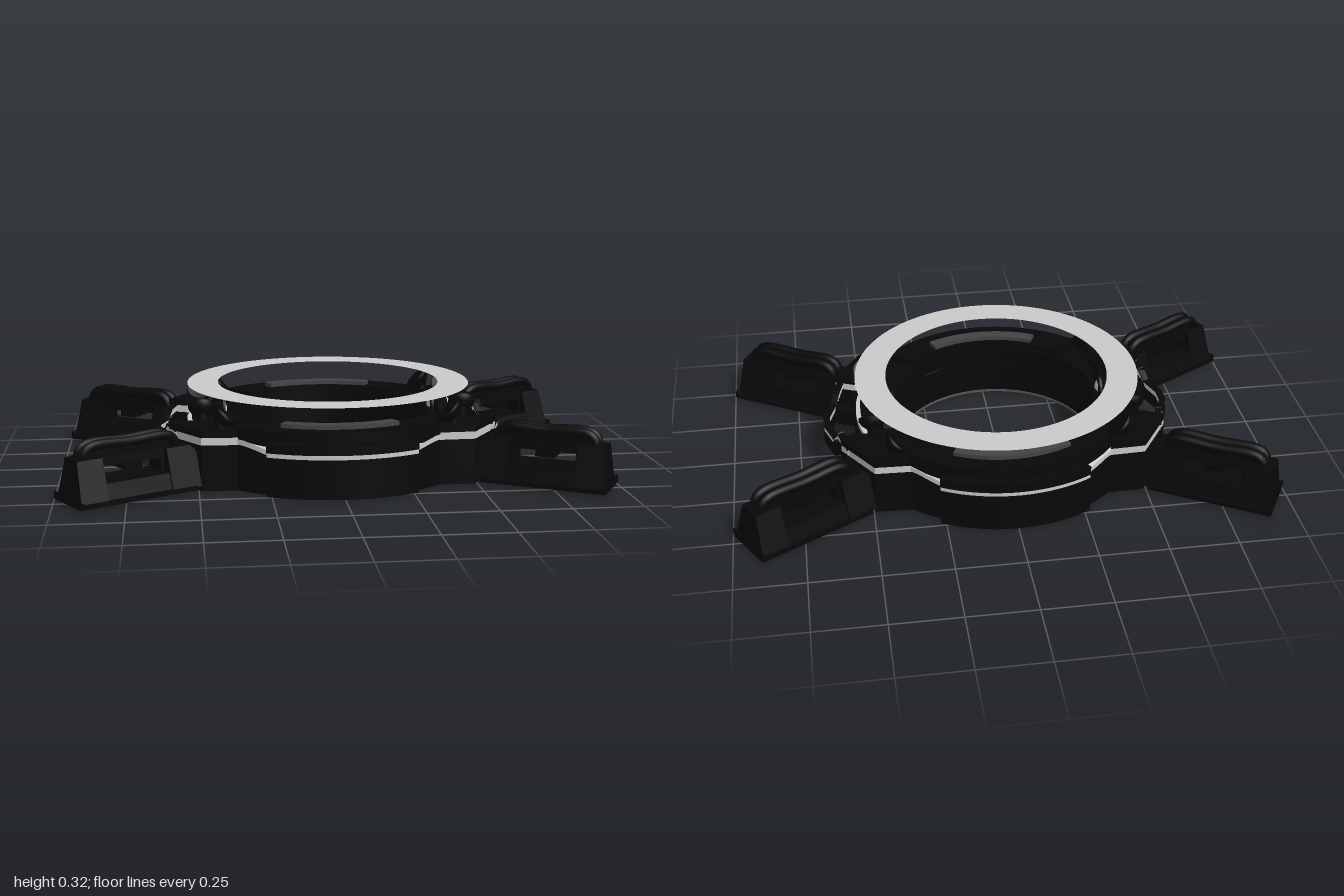
import * as THREE from 'three';

const DARK = 0x080808, GREY = 0xcccccc;
const rad = THREE.MathUtils.degToRad;

function add(parent, name, geometry, color = DARK, pos = [0, 0, 0]) {
  const material = new THREE.MeshStandardMaterial({ color, side: THREE.DoubleSide });
  const mesh = new THREE.Mesh(geometry, material);
  mesh.name = name;
  mesh.position.set(...pos);
  parent.add(mesh);
  return mesh;
}

const points = pts => pts.map(p => new THREE.Vector2(...p));
const shapeOf = pts => new THREE.Shape(points(pts));

// Plan outline raised from y0 to y1
function slab(shape, y0, y1) {
  return new THREE.ExtrudeGeometry(shape, { depth: y1 - y0, bevelEnabled: false, curveSegments: 72 })
    .rotateX(-Math.PI / 2).translate(0, y0, 0);
}

// Curved block between two radii and two angles (degrees, -90 is the front)
function arcBlock(r0, r1, y0, y1, a0, a1) {
  const s = new THREE.Shape();
  s.absarc(0, 0, r1, rad(a0), rad(a1), false);
  s.absarc(0, 0, r0, rad(a1), rad(a0), true);
  return slab(s, y0, y1);
}

function ringBlock(r0, r1, y0, y1) {
  const s = new THREE.Shape().absarc(0, 0, r1, 0, Math.PI * 2, false);
  s.holes.push(new THREE.Path().absarc(0, 0, r0, 0, Math.PI * 2, true));
  return slab(s, y0, y1);
}

// Side profile in (depth z, height y) given thickness along x
function sideSlab(pts, x0, x1) {
  return new THREE.ExtrudeGeometry(shapeOf(pts), { depth: x1 - x0, bevelEnabled: false })
    .rotateY(Math.PI / 2).translate(x0, 0, 0);
}

// Raise the upper vertices beside the low front and back sections
function stepUp(geometry) {
  const p = geometry.attributes.position;
  for (let i = 0; i < p.count; i++) {
    const t = THREE.MathUtils.clamp((Math.abs(p.getX(i)) - 0.26) / 0.08, 0, 1);
    if (p.getY(i) > 0.1) p.setY(i, p.getY(i) + 0.025 * t);
  }
  geometry.computeVertexNormals();
  return geometry;
}

// Side profile of an arm part, narrowed towards its top
function armSlab(shape, width, topRatio) {
  const g = new THREE.ExtrudeGeometry(shape, { depth: width, bevelEnabled: false }).translate(0, 0, -width / 2);
  const p = g.attributes.position;
  for (let i = 0; i < p.count; i++)
    p.setZ(i, p.getZ(i) * THREE.MathUtils.mapLinear(p.getY(i), 0.02, 0.165, 1, topRatio));
  g.computeVertexNormals();
  return g;
}

// Straight bar of rectangular section between two points
function bar(parent, name, a, b, w, h, color = DARK) {
  const from = new THREE.Vector3(...a), to = new THREE.Vector3(...b);
  const mesh = add(parent, name, new THREE.BoxGeometry(w, h, from.distanceTo(to) + w * 0.5), color);
  mesh.position.copy(from).lerp(to, 0.5);
  mesh.lookAt(to);
}

function buildArm() {
  const arm = new THREE.Group();
  arm.name = 'arm';
  // Low body, with a thin slotted wall above it
  add(arm, 'armBody', armSlab(shapeOf([[0.62, 0.02], [1.085, 0.02], [1.08, 0.08], [0.62, 0.08]]), 0.17, 0.55));
  const wall = shapeOf([[0.66, 0.07], [1.06, 0.07], [1.06, 0.165], [0.66, 0.165]]);
  wall.holes.push(new THREE.Path(points([[0.75, 0.082], [0.75, 0.132], [0.97, 0.132], [0.97, 0.082]])));
  add(arm, 'slottedWall', armSlab(wall, 0.08, 0.8));
  add(arm, 'slotLatch', new THREE.BoxGeometry(0.07, 0.025, 0.08), DARK, [0.86, 0.122, 0]);
  // Wide foot plate with an upturned tip
  const foot = shapeOf([[0.64, 0.01], [1.095, 0.01], [1.095, 0.04], [1.07, 0.025], [0.64, 0.025]]);
  add(arm, 'footPlate', armSlab(foot, 0.2, 1));
  // Tapered blocks at both ends
  add(arm, 'tipBlock', armSlab(shapeOf([[0.98, 0.02], [1.085, 0.02], [1.075, 0.165], [0.98, 0.165]]), 0.18, 0.5));
  add(arm, 'rootBlock', armSlab(shapeOf([[0.62, 0.02], [0.735, 0.02], [0.735, 0.165], [0.64, 0.165], [0.62, 0.14]]), 0.19, 0.55));
  add(arm, 'rootHinge', new THREE.BoxGeometry(0.16, 0.1, 0.11), DARK, [0.57, 0.1, 0]);
  // Rounded hand rail along the centre, closed underneath
  add(arm, 'railWeb', new THREE.BoxGeometry(0.34, 0.05, 0.04), DARK, [0.86, 0.175, 0]);
  for (const z of [-0.022, 0.022]) {
    const pts = [[0.685, 0.12], [0.685, 0.18], [0.71, 0.203], [0.86, 0.203], [1.01, 0.203], [1.035, 0.18], [1.035, 0.12]];
    const curve = new THREE.CatmullRomCurve3(pts.map(p => new THREE.Vector3(p[0], p[1], z)), false, 'centripetal');
    add(arm, 'handRail', new THREE.TubeGeometry(curve, 40, 0.017, 8));
  }
  return arm;
}

function buildSide() {
  const side = new THREE.Group();
  side.name = 'sideAssembly';
  // Round lamp set through a bell-shaped hood
  const half = [[0.25, 0.205], [0.18, 0.22], [0.13, 0.242], [0.08, 0.262], [0.04, 0.273]];
  const hood = [[0.25, 0.14], ...half, [0, 0.276], ...half.map(([z, y]) => [-z, y]).reverse(), [-0.25, 0.14]];
  add(side, 'lampHood', sideSlab(hood, 0.4, 0.44));
  add(side, 'lampHousing', new THREE.CylinderGeometry(0.06, 0.06, 0.06, 32).rotateZ(Math.PI / 2), DARK, [0.42, 0.216, 0]);
  add(side, 'lampLens', new THREE.SphereGeometry(0.046, 32, 20), GREY, [0.428, 0.216, 0]);
  for (const z of [-0.017, 0.017])
    add(side, 'lensRib', new THREE.BoxGeometry(0.01, 0.07, 0.004), DARK, [0.464, 0.216, z]);
  add(side, 'sideWall', new THREE.BoxGeometry(0.06, 0.165, 0.38), DARK, [0.505, 0.0825, 0]);

  // Bowl-shaped spotlight, open face along +y
  const bowl = new THREE.LatheGeometry(
    points([[0, -0.04], [0.022, -0.036], [0.04, -0.022], [0.05, -0.006], [0.05, 0.004], [0.044, 0.004], [0, 0]]), 28);

  for (const m of [-1, 1]) {
    // Bracket that carries the arm
    const plan = k => shapeOf([[0.36, 0.39], [0.49, 0.385], [0.6, 0.22], [0.53, 0.19], [0.45, 0.2]]
      .map(([x, z]) => [0.44 + (x - 0.44) * k, m * (0.29 + (z - 0.29) * k)]));
    add(side, 'armBracket', slab(plan(1), 0, 0.165));
    add(side, 'bracketTrim', slab(plan(0.99), 0.165, 0.192), GREY);
    add(side, 'bracketCover', slab(plan(1), 0.192, 0.215));
    // Two spotlights tilted inwards and up
    add(side, 'outerSpotlight', bowl, DARK, [0.4, 0.262, m * 0.33]).rotation.z = rad(45);
    add(side, 'innerSpotlight', bowl, DARK, [0.48, 0.262, m * 0.175]).rotation.x = rad(-45 * m);
    add(side, 'spotlightStem', new THREE.CylinderGeometry(0.018, 0.025, 0.07, 14), DARK, [0.42, 0.215, m * 0.33]);
    add(side, 'spotlightStem', new THREE.CylinderGeometry(0.018, 0.025, 0.1, 14), DARK, [0.48, 0.2, m * 0.195]);
    // Bowed guard that dips in front of the lamp, with a light band
    const path = [[0.57, 0.178, 0.25], [0.598, 0.178, 0.145], [0.614, 0.142, 0.115], [0.643, 0.142, 0.03], [0.643, 0.142, 0]];
    for (let i = 0; i < path.length - 1; i++) {
      const lift = (p, d) => [p[0], p[1] + d, m * p[2]];
      bar(side, 'guardBar', lift(path[i], -0.035), lift(path[i + 1], -0.035), 0.024, 0.05);
      bar(side, 'guardBand', lift(path[i], 0), lift(path[i + 1], 0), 0.02, 0.024, GREY);
      bar(side, 'guardCap', lift(path[i], 0.014), lift(path[i + 1], 0.014), 0.024, 0.006);
    }
    bar(side, 'guardStrut', [0.52, 0.11, m * 0.07], [0.6, 0.12, m * 0.125], 0.035, 0.05);
  }
  return side;
}

export function createModel() {
  const model = new THREE.Group();
  model.name = 'ringFrame';

  // Stacked ring body around the open bore
  add(model, 'lowerBody', stepUp(ringBlock(0.38, 0.53, 0, 0.142)));
  add(model, 'bodyStripe', stepUp(ringBlock(0.45, 0.532, 0.142, 0.16)), GREY);
  add(model, 'upperCollar', ringBlock(0.385, 0.515, 0.14, 0.2));
  add(model, 'innerLip', ringBlock(0.375, 0.41, 0.185, 0.21));
  add(model, 'bottomRim', ringBlock(0.376, 0.388, 0, 0.008), 0x555555);

  // Front and back shells with raised plates
  for (const a of [-90, 90]) {
    add(model, 'outerShell', arcBlock(0.5, 0.556, 0, 0.14, a - 29, a + 29));
    add(model, 'shellStripe', arcBlock(0.5, 0.552, 0.14, 0.156, a - 29, a + 29), GREY);
    add(model, 'shellTop', arcBlock(0.48, 0.555, 0.156, 0.19, a - 29, a + 29));
    add(model, 'raisedSection', arcBlock(0.39, 0.515, 0.19, 0.225, a - 46, a + 46));
    add(model, 'topPlate', arcBlock(0.405, 0.45, 0.225, 0.24, a - 28, a + 28), 0x444444);
  }

  // Thin flat ring hovering over the body
  add(model, 'floatingRing', new THREE.RingGeometry(0.415, 0.53, 96).rotateX(-Math.PI / 2), GREY, [0, 0.318, 0]);

  for (const turn of [0, Math.PI]) {
    const side = buildSide();
    side.rotation.y = turn;
    model.add(side);
  }
  for (const a of [30, 150, 210, 330]) {
    const arm = buildArm();
    arm.rotation.y = rad(a);
    model.add(arm);
  }
  return model;
}
